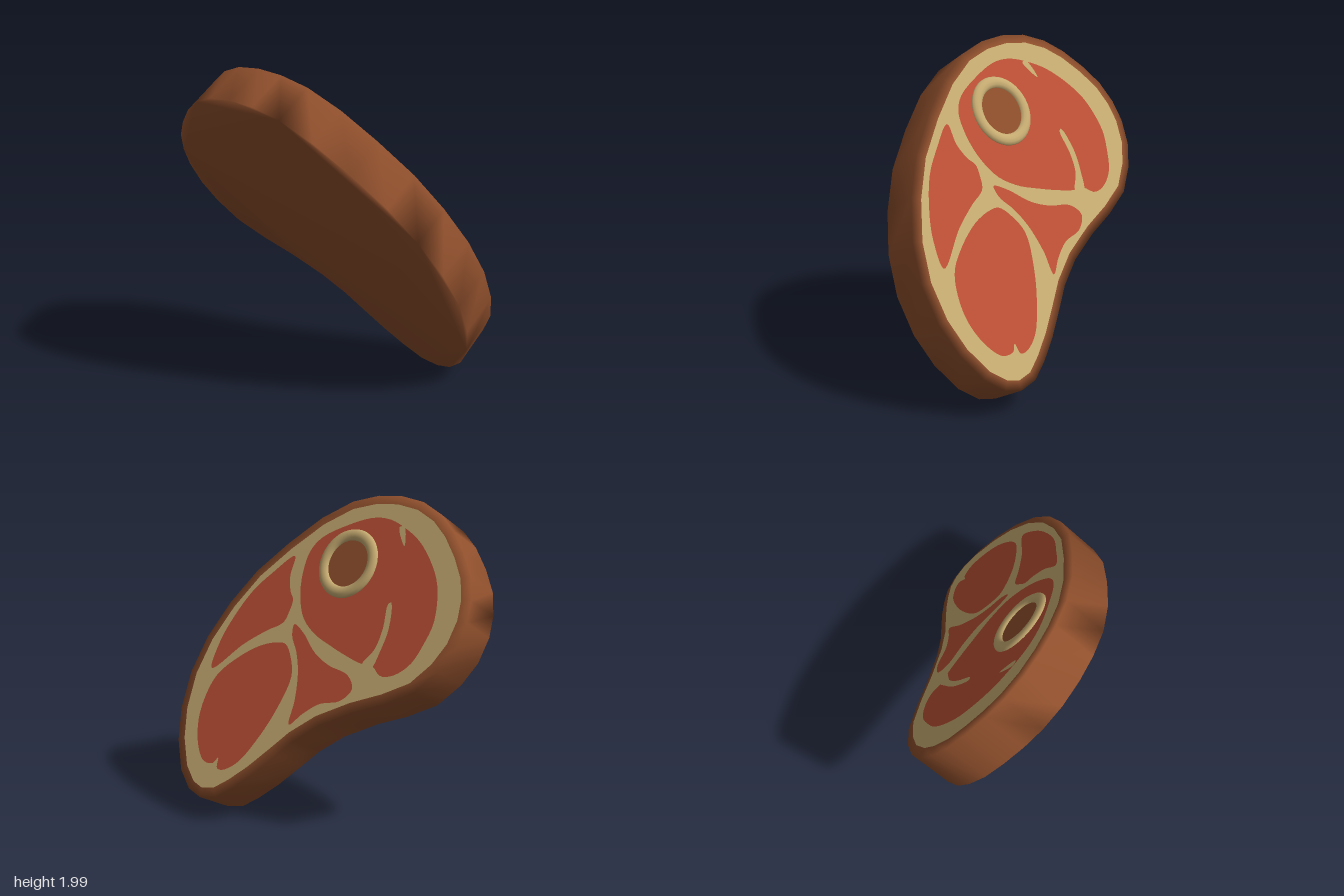
import * as THREE from 'three';

const LEAN = 0.508, ROLL = 0.075;
const RIM = 0.287, FACE = 0.3, BORDER = 0.06;

const toPoints = list => list.map(([x, y]) => new THREE.Vector2(x, y));

// Slab outline in its own plane (x, height along the slab), clockwise from the left
const OUTLINE = toPoints([
  [-.975, 1.377], [-.961, 1.513], [-.911, 1.657], [-.821, 1.792], [-.711, 1.918], [-.591, 2.014],
  [-.441, 2.081], [-.271, 2.106], [-.101, 2.094], [.08, 2.04], [.28, 1.911], [.48, 1.721], [.67, 1.505],
  [.81, 1.267], [.91, 1.017], [.955, .765], [.94, .518], [.88, .312], [.78, .131], [.67, .03],
  [.56, -.004], [.44, .021], [.33, .103], [.21, .216], [.08, .363], [-.02, .48], [-.17, .607],
  [-.38, .726], [-.58, .814], [-.76, .919], [-.88, 1.066], [-.95, 1.215],
]);

// Lean-meat areas on the cut face
const MEAT = {
  loinMeat: [[.13, .863], [.17, .629], [.25, .419], [.34, .265], [.44, .196], [.485, .20], [.50, .265],
    [.53, .223], [.61, .223], [.69, .309], [.75, .454], [.76, .606], [.72, .773], [.61, .90], [.45, 1.015],
    [.32, 1.059], [.25, 1.058], [.18, .981]],
  wedgeMeat: [[-.34, .862], [-.28, .778], [-.14, .733], [-.04, .654], [.04, .568], [.05, .72], [.09, .896],
    [.15, 1.022], [.22, 1.119], [.23, 1.194], [.14, 1.148], [.01, 1.039], [-.12, .978], [-.28, .94]],
  sideMeat: [[.30, 1.272], [.32, 1.193], [.43, 1.122], [.58, 1.009], [.78, .813], [.78, .994], [.73, 1.172],
    [.64, 1.364], [.53, 1.50], [.39, 1.633], [.38, 1.50], [.34, 1.40], [.30, 1.348]],
  mainMeat: [[-.766, 1.352], [-.74, 1.206], [-.69, 1.075], [-.60, .993], [-.51, .973], [-.43, 1.025],
    [-.35, 1.025], [-.22, 1.057], [-.09, 1.099], [.06, 1.157], [.18, 1.248], [.26, 1.40], [.29, 1.559],
    [.28, 1.684], [.22, 1.777], [.06, 1.873], [-.12, 1.942], [-.25, 1.943], [-.38, 1.897], [-.51, 1.822],
    [-.64, 1.69], [-.72, 1.561]],
};

// Thin fat streaks inside the main meat
const STREAKS = {
  hookStreak: [[-.43, 1.005], [-.46, 1.12], [-.473, 1.265], [-.437, 1.424], [-.417, 1.411], [-.432, 1.26],
    [-.417, 1.125], [-.36, 1.02]],
  edgeStreak: [[-.41, 1.785], [-.38, 1.815], [-.335, 1.90], [-.37, 1.905]],
};

function insetOutline(d) {
  const n = OUTLINE.length;
  return OUTLINE.map((p, i) => {
    const t = OUTLINE[(i + 1) % n].clone().sub(OUTLINE[(i + n - 1) % n]).normalize();
    return new THREE.Vector2(p.x + t.y * d, p.y - t.x * d);
  });
}

function smoothLoop(points, count) {
  const curve = new THREE.CatmullRomCurve3(points.map(([x, y]) => new THREE.Vector3(x, y, 0)), true);
  return curve.getPoints(count).slice(0, -1).map(p => new THREE.Vector2(p.x, p.y));
}

// Flat shape on the cut face, turned to face the back
function facePlate(points, lift) {
  const geo = new THREE.ShapeGeometry(new THREE.Shape(points));
  geo.translate(0, 0, -FACE - lift);
  geo.index.array.reverse();
  geo.computeVertexNormals();
  return geo;
}

// Front face, side wall and narrow back border as one smooth skin
function crustGeometry(inner) {
  const n = OUTLINE.length, pos = [], index = [];
  OUTLINE.forEach(p => pos.push(p.x, p.y, 0));
  OUTLINE.forEach(p => pos.push(p.x, p.y, -RIM));
  inner.forEach(p => pos.push(p.x, p.y, -FACE));
  const front = THREE.ShapeUtils.triangulateShape([...OUTLINE].reverse(), []);
  front.forEach(face => index.push(...face.map(i => n - 1 - i)));
  for (let i = 0; i < n; i++) {
    const j = (i + 1) % n;
    for (let a = 0; a < 2 * n; a += n) {
      const b = a + n;
      index.push(a + i, a + j, b + i, a + j, b + j, b + i);
    }
  }
  const geo = new THREE.BufferGeometry();
  geo.setAttribute('position', new THREE.Float32BufferAttribute(pos, 3));
  geo.setIndex(index);
  geo.computeVertexNormals();
  return geo;
}

export function createModel() {
  const material = (name, color) => Object.assign(new THREE.MeshStandardMaterial({ color }), { name });
  const crustBrown = material('crust brown', 0x8f4f2c);
  const fatTan = material('fat tan', 0xc6ab71);
  const meatRed = material('meat red', 0xbc5034);

  const slab = new THREE.Group();
  slab.name = 'slab';
  const add = (name, geo, mat) => {
    const mesh = new THREE.Mesh(geo, mat);
    mesh.name = name;
    slab.add(mesh);
    return mesh;
  };

  // Crust and cut face
  const inner = insetOutline(BORDER);
  add('crust', crustGeometry(inner), crustBrown);
  add('fat', facePlate(inner, 0), fatTan);
  for (const [name, pts] of Object.entries(MEAT)) add(name, facePlate(smoothLoop(pts, 80), 0.003), meatRed);
  for (const [name, pts] of Object.entries(STREAKS)) add(name, facePlate(smoothLoop(pts, 32), 0.006), fatTan);

  // Bone ring with its marrow
  const bone = new THREE.Vector2(-0.036, 1.63);
  const circle = Array.from({ length: 32 }, (_, i) => {
    const a = i / 32 * Math.PI * 2;
    return new THREE.Vector2(bone.x + 0.17 * Math.cos(a), bone.y + 0.178 * Math.sin(a));
  });
  add('marrow', facePlate(circle, 0.006), crustBrown);
  const ring = add('boneRing', new THREE.TorusGeometry(0.178, 0.037, 12, 40), fatTan);
  ring.position.set(bone.x, bone.y, -FACE);
  ring.scale.set(1, 1.06, 0.7);

  // Slight roll about the long axis of the slab, then lean it back
  const roll = new THREE.Group();
  roll.name = 'roll';
  roll.position.set(-0.25, 2.1, -0.008);
  roll.quaternion.setFromAxisAngle(new THREE.Vector3(0.36, -0.933, 0).normalize(), ROLL);
  slab.position.set(0.25, -2.1, 0);
  roll.add(slab);

  const steak = new THREE.Group();
  steak.name = 'steak';
  steak.rotation.x = LEAN;
  steak.position.z = -0.385;
  steak.add(roll);
  const model = new THREE.Group();
  model.name = 'steakModel';
  model.add(steak);
  return model;
}
